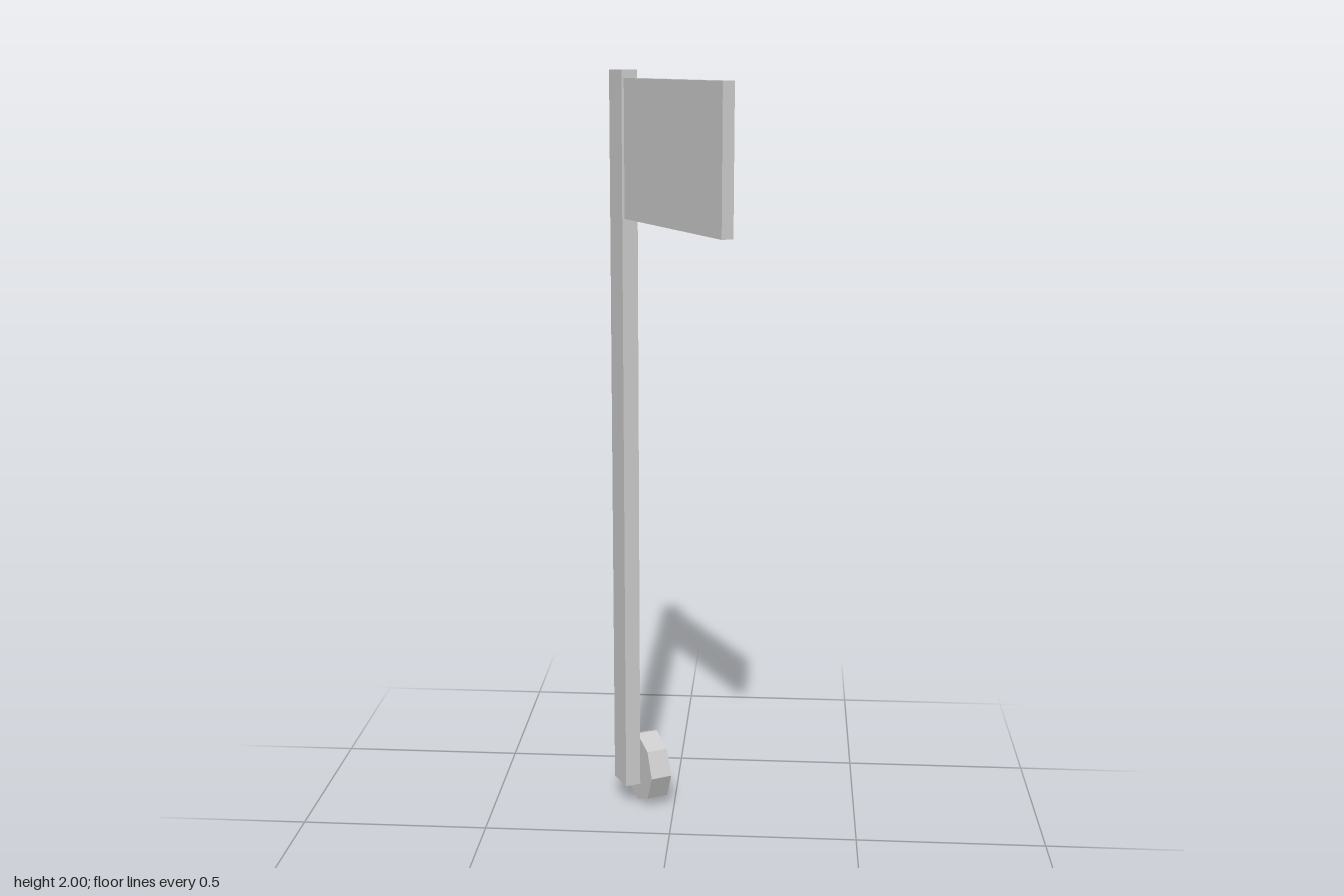
import * as THREE from 'three';

export function createModel() {
  const model = new THREE.Group();
  model.name = 'signalFlag';
  const grey = new THREE.MeshStandardMaterial({ color: 0xcccccc, flatShading: true });
  grey.name = 'grey';

  // The post is the origin of a turned frame: local z runs along the flag
  const assembly = new THREE.Group();
  assembly.name = 'flagAssembly';
  assembly.position.set(-0.132, 0, -0.2);
  assembly.rotation.y = 0.5035;
  model.add(assembly);

  const add = (name, geometry, x, y, z) => {
    const mesh = new THREE.Mesh(geometry, grey);
    mesh.name = name;
    mesh.position.set(x, y, z);
    assembly.add(mesh);
  };

  // Upright post
  add('post', new THREE.BoxGeometry(0.043, 1.935, 0.079), 0, 1.0325, 0);

  // Flag plate, running out from the post
  const start = 0.0395, end = 0.594;
  add('flag', new THREE.BoxGeometry(0.03, 0.35, end - start), 0, 1.805, (start + end) / 2);

  // Octagonal pivot disc beside the foot of the post
  const disc = new THREE.CylinderGeometry(0.098, 0.098, 0.059, 8).rotateZ(Math.PI / 2);
  add('pivotDisc', disc, 0.06, 0.1, 0);

  // Stand the disc on the ground
  assembly.position.y = -0.002;
  return model;
}
